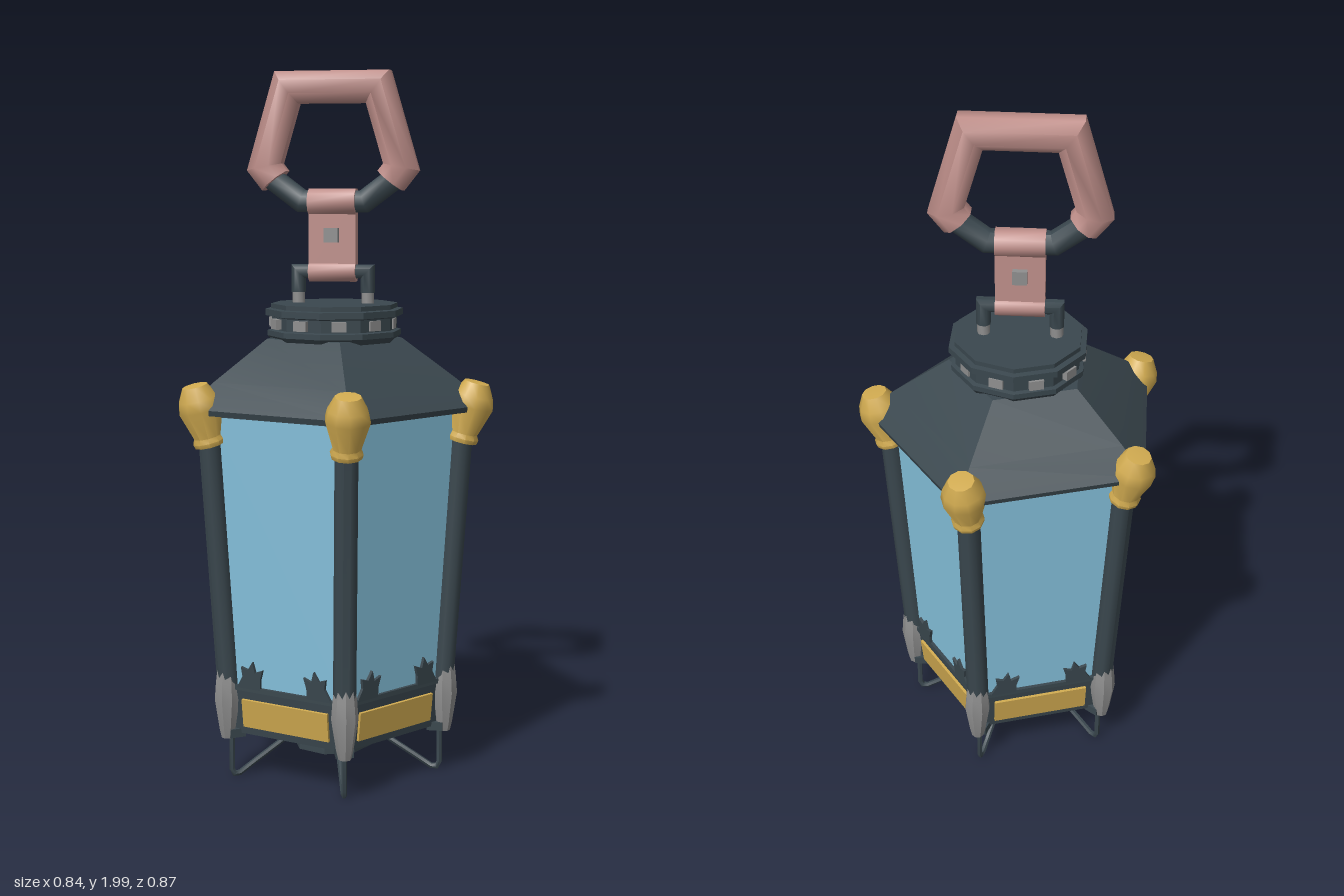
import * as THREE from 'three';
import { toCreasedNormals } from 'three/addons/utils/BufferGeometryUtils.js';

const mat = (name, color) => {
  const m = new THREE.MeshStandardMaterial({ color });
  m.name = name;
  return m;
};

// Lathe from [radius, y] pairs, running bottom to top; first corner points to +x
function turned(profile, sides, crease = 0.4, start = 0) {
  const g = new THREE.LatheGeometry(profile.map(p => new THREE.Vector2(...p)), sides, start);
  g.rotateY(Math.PI / 2);
  return toCreasedNormals(g, crease);
}

// Mitred tube along a polyline in the xy plane
function sweep(pts, r, sides = 8, depth = r) {
  const pos = [], idx = [], n = pts.length;
  const dir = i => new THREE.Vector2(pts[i + 1][0] - pts[i][0], pts[i + 1][1] - pts[i][1]).normalize();
  for (let i = 0; i < n; i++) {
    const a = dir(Math.max(i - 1, 0)), b = dir(Math.min(i, n - 2));
    const t = a.clone().add(b).normalize(), miter = r / Math.max(t.dot(a), 0.4);
    for (let j = 0; j < sides; j++) {
      const q = (j + 0.5) / sides * Math.PI * 2, c = Math.cos(q) * miter;
      pos.push(pts[i][0] - t.y * c, pts[i][1] + t.x * c, Math.sin(q) * depth);
    }
  }
  for (let i = 0; i < n - 1; i++) for (let j = 0; j < sides; j++) {
    const k = (j + 1) % sides, a = i * sides + j, b = i * sides + k;
    idx.push(a, b, a + sides, b, b + sides, a + sides);
  }
  const last = (n - 1) * sides;
  for (let j = 1; j < sides - 1; j++) idx.push(0, j + 1, j, last, last + j, last + j + 1);
  const g = new THREE.BufferGeometry();
  g.setAttribute('position', new THREE.Float32BufferAttribute(pos, 3));
  g.setIndex(idx);
  return toCreasedNormals(g, 0.9);
}

export function createModel() {
  const iron = mat('dark iron', 0x3a474e), brass = mat('brass', 0xd0aa50);
  const steel = mat('grey steel', 0x8f8f8f), glass = mat('blue glass', 0x86c2dd);
  const copper = mat('rose copper', 0xbf8f8a);
  const model = new THREE.Group();
  model.name = 'lantern';
  const body = new THREE.Group();
  body.name = 'body';
  body.position.x = -0.044;
  model.add(body);
  const add = (parent, name, geo, material, x = 0, y = 0, z = 0) => {
    const m = new THREE.Mesh(geo, material);
    m.name = name;
    m.position.set(x, y, z);
    parent.add(m);
    return m;
  };
  const box = (w, h, d) => new THREE.BoxGeometry(w, h, d);

  // Five-sided base, glass and roof
  add(body, 'base', turned([[0, 0.2], [0.25, 0.2], [0.285, 0.14], [0.313, 0.14], [0.332, 0.28], [0, 0.28]], 5), iron);
  add(body, 'glass', turned([[0.325, 0.28], [0.37, 1.065]], 5), glass);
  add(body, 'roof', turned([[0, 1.06], [0.435, 1.06], [0.44, 1.075], [0.36, 1.145], [0.2, 1.26], [0, 1.26]], 5), iron);
  add(body, 'hub', turned([[0, 0.065], [0.115, 0.065], [0.115, 0.14], [0.09, 0.2]], 8), iron);

  // Ten-sided collar and top plate
  add(body, 'collar', turned([[0.17, 1.24], [0.19, 1.265], [0.19, 1.28], [0.178, 1.283], [0.178, 1.318],
    [0.196, 1.322], [0.196, 1.34], [0.18, 1.342], [0.18, 1.355], [0, 1.355]], 10, 0.4, Math.PI / 10), iron, 0.006);
  for (let i = 0; i < 10; i++) {
    const g = new THREE.Group();
    g.name = 'collarStudMount';
    g.rotation.y = i * Math.PI / 5;
    body.add(g);
    add(g, 'collarStud', box(0.016, 0.028, 0.04), steel, 0.172, 1.3);
  }

  // Corner parts: post, brass cap, steel foot, wire leg
  const capGeo = turned([[0, 0], [0.043, 0], [0.046, 0.012], [0.039, 0.025], [0.063, 0.105],
    [0.056, 0.135], [0.036, 0.172], [0, 0.175]], 10, 0.8);
  const footGeo = turned([[0, 0.125], [0.018, 0.125], [0.024, 0.15], [0.038, 0.24], [0.034, 0.29],
    [0.025, 0.36], [0, 0.378]], 8, 0.5);
  const postGeo = sweep([[0.322, 0.25], [0.376, 1.06]], 0.032, 10);
  const legGeo = sweep([[0.315, 0.15], [0.316, 0.03], [0.308, 0.014], [0.292, 0.014], [0.25, 0.04],
    [0.14, 0.105], [0.09, 0.12]], 0.008, 6);
  // Jagged corner ornament
  const leaf = new THREE.Shape([[-0.042, 0], [0.035, 0], [0.036, 0.03], [0.045, 0.06], [0.02, 0.05], [0.012, 0.08],
    [-0.004, 0.055], [-0.026, 0.062], [-0.022, 0.035]].map(p => new THREE.Vector2(...p)));
  const leafGeo = new THREE.ExtrudeGeometry(leaf, { depth: 0.009, bevelEnabled: false });
  leafGeo.translate(0, 0, -0.0045);
  leafGeo.rotateY(Math.PI / 2);
  const mirrorLeaf = new THREE.ExtrudeGeometry(
    new THREE.Shape(leaf.getPoints().map(p => new THREE.Vector2(-p.x, p.y))), { depth: 0.009, bevelEnabled: false });
  mirrorLeaf.translate(0, 0, -0.0045);
  mirrorLeaf.rotateY(Math.PI / 2);

  for (let i = 0; i < 5; i++) {
    const corner = new THREE.Group();
    corner.name = 'corner';
    corner.rotation.y = i * Math.PI * 0.4;
    body.add(corner);
    add(corner, 'post', postGeo, iron);
    add(corner, 'cap', capGeo, brass, 0.372, 0.972).rotation.z = -0.25;
    add(corner, 'foot', footGeo, steel, 0.328);
    add(corner, 'wireLeg', legGeo, iron);
    add(corner, 'legSocket', box(0.045, 0.025, 0.05), iron, 0.305, 0.14);

    // Side parts: brass plate, sill, upper frame and ornaments
    const side = new THREE.Group();
    side.name = 'side';
    side.rotation.y = (i + 0.5) * Math.PI * 0.4;
    body.add(side);
    add(side, 'brassPlate', box(0.012, 0.082, 0.28), brass, 0.2625, 0.205).rotation.z = -0.11;
    add(side, 'sill', box(0.014, 0.014, 0.37), iron, 0.266, 0.278);
    add(side, 'upperFrame', box(0.012, 0.014, 0.42), iron, 0.3, 1.058);
    for (const s of [-1, 1])
      add(side, 'ornament', s > 0 ? leafGeo : mirrorLeaf, iron, 0.27, 0.28, s * 0.112).rotation.z = -0.047;
  }

  // Hanger: pegs, bow, plate with rivets and carrying ring
  const hanger = new THREE.Group();
  hanger.name = 'hanger';
  hanger.position.x = -0.042;
  model.add(hanger);
  for (const s of [-1, 1])
    add(hanger, 'peg', turned([[0.018, 1.35], [0.018, 1.41]], 8, 0.9), steel, s * 0.1);
  add(hanger, 'bow', sweep([[-0.1, 1.385], [-0.1, 1.444], [0.1, 1.444], [0.1, 1.385]], 0.021, 8), iron);
  add(hanger, 'plate', box(0.135, 0.21, 0.034), copper, 0, 1.545);
  add(hanger, 'lowerRoll', sweep([[-0.0675, 1.444], [0.0675, 1.444]], 0.03, 10, 0.028), copper);
  add(hanger, 'upperRoll', sweep([[-0.0675, 1.638], [0.0675, 1.638]], 0.039, 10, 0.04), copper);
  add(hanger, 'rivet', box(0.04, 0.04, 0.066), steel, 0, 1.546);
  add(hanger, 'ringGate', sweep([[-0.2, 1.75], [-0.188, 1.713], [-0.09, 1.64], [0.09, 1.64], [0.188, 1.713], [0.2, 1.75]], 0.033, 8), iron);
  add(hanger, 'ringGrip', sweep([[-0.165, 1.697], [-0.195, 1.735], [-0.13, 1.955], [0.13, 1.955],
    [0.195, 1.735], [0.165, 1.697]], 0.048, 8, 0.053), copper);
  return model;
}
